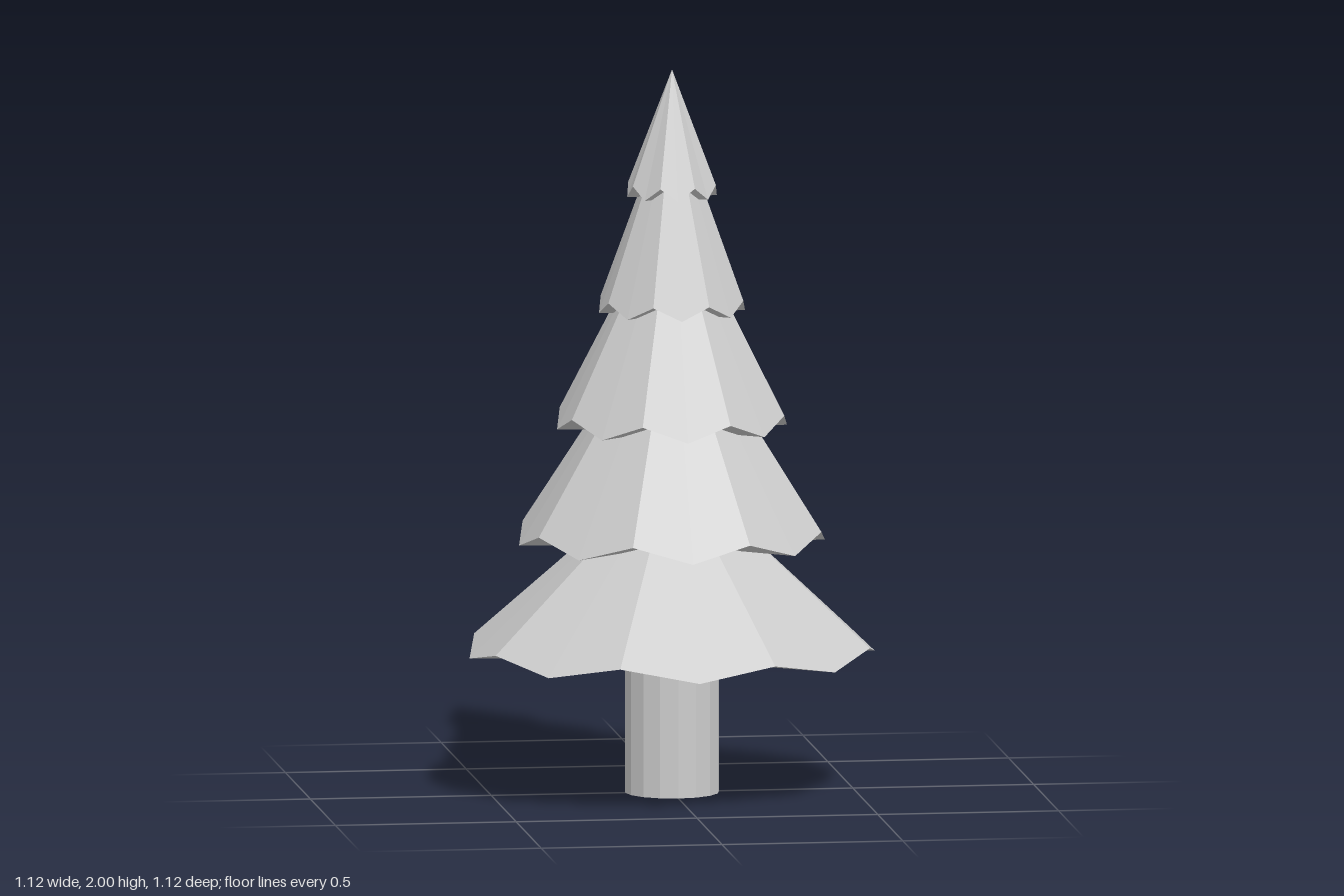
import * as THREE from 'three';

const SIDES = 16;

// One tier of branches: a faceted cone with a zigzag rim and a shallow underside
function tierGeometry({ radius, tip, notch, under, apex }) {
  const rim = i => {
    const a = (i * Math.PI * 2) / SIDES;
    return [Math.sin(a) * radius, i % 2 ? notch : tip, Math.cos(a) * radius];
  };
  const points = [];
  for (let i = 0; i < SIDES; i++) {
    points.push(...rim(i), ...rim(i + 1), 0, apex, 0);
    points.push(...rim(i + 1), ...rim(i), 0, under, 0);
  }
  const geometry = new THREE.BufferGeometry();
  geometry.setAttribute('position', new THREE.Float32BufferAttribute(points, 3));
  geometry.computeVertexNormals();
  return geometry;
}

export function createModel() {
  const tree = new THREE.Group();
  tree.name = 'pineTree';

  const grey = new THREE.MeshStandardMaterial({ color: 0xcccccc });
  grey.name = 'lightGrey';
  grey.flatShading = true;

  // Trunk
  const trunk = new THREE.Mesh(new THREE.CylinderGeometry(0.13, 0.13, 0.4, SIDES), grey);
  trunk.position.y = 0.2;
  trunk.name = 'trunk';
  tree.add(trunk);

  // Branch tiers, bottom to top
  const tiers = [
    { radius: 0.56, tip: 0.38, notch: 0.418, under: 0.367, apex: 0.91 },
    { radius: 0.423, tip: 0.69, notch: 0.735, under: 0.683, apex: 1.38 },
    { radius: 0.318, tip: 1.01, notch: 1.053, under: 1.003, apex: 1.66 },
    { radius: 0.202, tip: 1.33, notch: 1.367, under: 1.325, apex: 1.91 },
    { radius: 0.124, tip: 1.65, notch: 1.685, under: 1.645, apex: 2 },
  ];
  tiers.forEach((tier, i) => {
    const mesh = new THREE.Mesh(tierGeometry(tier), grey);
    mesh.name = `branchTier${i + 1}`;
    tree.add(mesh);
  });

  return tree;
}
